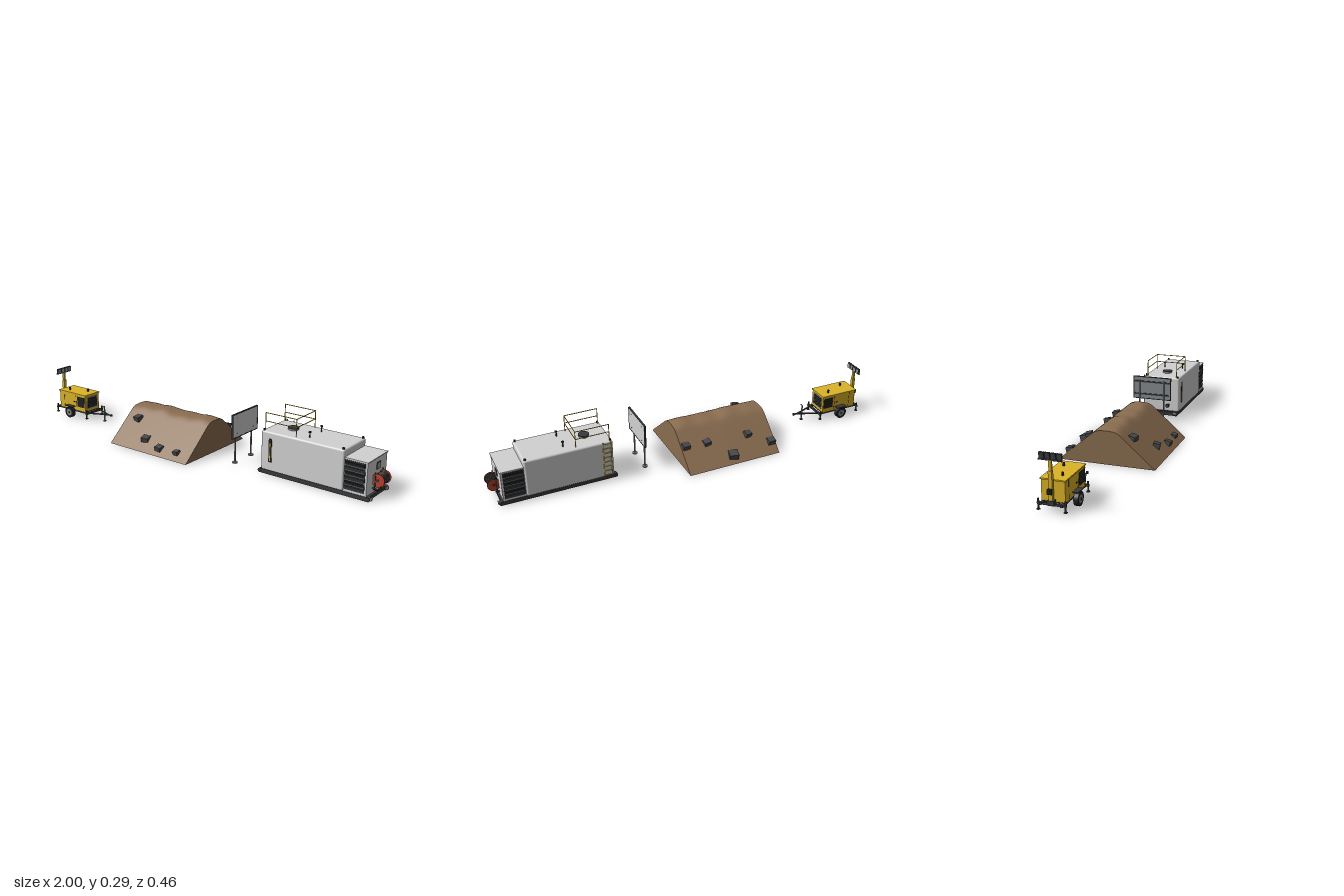
import * as THREE from 'three';
import { RoundedBoxGeometry } from 'three/addons/geometries/RoundedBoxGeometry.js';

const mat = (name, color, side = THREE.FrontSide) => {
  const m = new THREE.MeshStandardMaterial({ color, side });
  m.name = name;
  return m;
};

export function createModel() {
  const model = new THREE.Group();
  const white = mat('paleGrey', 0xd2d2d2), dark = mat('darkSteel', 0x38393b), black = mat('black', 0x202123);
  const yellow = mat('yellow', 0xdcb428), red = mat('red', 0xb8402c), steel = mat('steel', 0x868a8e);
  const earth = mat('earth', 0x8a6d50, THREE.DoubleSide), rock = mat('rock', 0x47484b), glass = mat('glass', 0x9aa8b0);

  const group = (name) => {
    const g = new THREE.Group();
    g.name = name;
    model.add(g);
    return g;
  };
  const add = (parent, name, geo, m, x = 0, y = 0, z = 0) => {
    const mesh = new THREE.Mesh(geo, m);
    mesh.name = name;
    mesh.position.set(x, y, z);
    parent.add(mesh);
    return mesh;
  };
  // Box given by its centre and size
  const box = (p, name, m, x, y, z, w, h, d) => add(p, name, new THREE.BoxGeometry(w, h, d), m, x, y, z);
  const cyl = (p, name, m, x, y, z, r, h, axis = 'y', seg = 20) => {
    const g = new THREE.CylinderGeometry(r, r, h, seg);
    if (axis === 'z') g.rotateX(Math.PI / 2);
    if (axis === 'x') g.rotateZ(Math.PI / 2);
    return add(p, name, g, m, x, y, z);
  };
  // Straight round or square bar between two points
  const bar = (p, name, m, a, b, r, seg = 8) => {
    const A = new THREE.Vector3(...a), B = new THREE.Vector3(...b), dir = B.clone().sub(A);
    const mesh = add(p, name, new THREE.CylinderGeometry(r, r, dir.length(), seg), m);
    mesh.position.copy(A).add(B).multiplyScalar(0.5);
    mesh.quaternion.setFromUnitVectors(new THREE.Vector3(0, 1, 0), dir.normalize());
    return mesh;
  };
  const both = (f) => [-1, 1].forEach(f);

  // ---------- Earth mound ----------
  const mound = group('earthMound');
  const ridge = (x) => 1 + 0.02 * Math.sin(x * 24 + 1) + 0.015 * Math.sin(x * 51);
  const height = (x, z) => {
    const a = 0.862 * (0.232 - Math.abs(z));
    const top = 0.164 * ridge(x) - 1.9 * z * z;
    const k = 0.012, h = Math.max(0, Math.min(1, 0.5 + (top - a) / (2 * k)));
    return Math.max(0, top + (a - top) * h - k * h * (1 - h));
  };
  const slope = new THREE.PlaneGeometry(0.485, 0.464, 40, 40).rotateX(-Math.PI / 2).translate(-0.158, 0, 0);
  const sp = slope.attributes.position;
  for (let i = 0; i < sp.count; i++) sp.setY(i, height(sp.getX(i), sp.getZ(i)));
  slope.computeVertexNormals();
  add(mound, 'moundSurface', slope, earth);
  for (const x of [-0.4005, 0.0845]) {
    const s = new THREE.Shape();
    s.moveTo(-0.232, 0);
    for (let i = 1; i <= 40; i++) {
      const z = -0.232 + i * 0.0116;
      s.lineTo(z, height(x, z));
    }
    const end = new THREE.ShapeGeometry(s).rotateY(x > 0 ? Math.PI / 2 : -Math.PI / 2);
    add(mound, 'moundEnd', end, earth, x);
  }
  // Rocks: x, z, size
  [[-0.378, -0.182, 0.038], [-0.27, -0.134, 0.034], [-0.16, -0.198, 0.046], [-0.05, -0.128, 0.034], [0.06, -0.123, 0.036],
    [-0.325, 0.103, 0.038], [-0.21, 0.178, 0.038], [-0.105, 0.2, 0.035], [0.002, 0.198, 0.029]].forEach(([x, z, s], i) => {
    const r = box(mound, 'rock', rock, x, height(x, z) + 0.004, z, s, s * 0.65, s * 0.9);
    r.rotation.set(Math.sign(z) * 0.25, Math.sin(i * 2.3) * 0.2, Math.sin(i * 1.7) * 0.12);
  });

  // ---------- Sign board ----------
  const sign = group('signBoard');
  box(sign, 'panel', white, 0.259, 0.188, 0, 0.005, 0.112, 0.196);
  box(sign, 'panelBack', steel, 0.2555, 0.188, 0, 0.002, 0.112, 0.196);
  both((s) => {
    box(sign, 'sideFrame', dark, 0.258, 0.188, s * 0.099, 0.009, 0.118, 0.004);
    box(sign, 'edgeFrame', dark, 0.258, 0.188 + s * 0.057, 0, 0.009, 0.004, 0.2);
    box(sign, 'backRail', dark, 0.252, 0.188 + s * 0.033, 0, 0.005, 0.007, 0.186);
    cyl(sign, 'post', steel, 0.25, 0.115, s * 0.065, 0.004, 0.23, 'y', 12);
    cyl(sign, 'postBase', steel, 0.25, 0.003, s * 0.065, 0.013, 0.006);
    both((t) => cyl(sign, 'bolt', dark, 0.262, 0.188 + t * 0.037, s * 0.065, 0.002, 0.002, 'x', 8));
  });

  // ---------- Tank container ----------
  const tank = group('fuelTank');
  add(tank, 'tankBody', new RoundedBoxGeometry(0.42, 0.187, 0.196, 3, 0.009), white, 0.627, 0.115, 0);
  box(tank, 'equipmentCab', white, 0.888, 0.098, 0, 0.112, 0.153, 0.178);
  box(tank, 'cabRoof', white, 0.889, 0.174, 0, 0.116, 0.004, 0.184);
  // Skid frame with cross members
  both((s) => {
    box(tank, 'skidBeam', dark, 0.68, 0.011, s * 0.08, 0.55, 0.02, 0.02);
    box(tank, 'skidEnd', dark, 0.68 + s * 0.265, 0.011, 0, 0.016, 0.018, 0.15);
    both((t) => {
      cyl(tank, 'skidNose', dark, 0.68 + s * 0.273, 0.011, t * 0.08, 0.01, 0.021, 'z', 12);
      cyl(tank, 'liftingLug', black, 0.627 + s * 0.2, 0.211, t * 0.087, 0.005, 0.01, 'y', 10);
      cyl(tank, 'skidFoot', black, 0.68 + s * 0.255, 0.002, t * 0.08, 0.008, 0.004, 'y', 10);
    });
  });
  box(tank, 'underTray', black, 0.68, 0.018, 0, 0.53, 0.004, 0.16);
  for (let i = 1; i < 4; i++) box(tank, 'crossMember', dark, 0.415 + i * 0.132, 0.009, 0, 0.012, 0.016, 0.15);
  // Louvred side vents
  both((s) => {
    box(tank, 'ventPanel', dark, 0.887, 0.1, s * 0.0895, 0.096, 0.134, 0.004);
    for (let i = 0; i < 6; i++) {
      const l = box(tank, 'louvre', i % 2 ? black : dark, 0.887, 0.045 + i * 0.022, s * 0.092, 0.09, 0.013, 0.003);
      l.rotation.x = s * 0.3;
    }
    for (let i = 0; i < 5; i++) box(tank, 'louvreTrim', steel, 0.887, 0.056 + i * 0.022, s * 0.092, 0.092, 0.002, 0.002);
  });
  // Cab window
  box(tank, 'windowFrame', dark, 0.945, 0.135, -0.011, 0.004, 0.032, 0.034);
  box(tank, 'windowPane', glass, 0.9465, 0.135, -0.011, 0.004, 0.025, 0.027);
  // Hose reel
  const reel = group('hoseReel');
  cyl(reel, 'drum', black, 0.966, 0.082, 0, 0.025, 0.058, 'z', 24);
  for (let i = 0; i < 9; i++) add(reel, 'hoseCoil', new THREE.TorusGeometry(0.0235, 0.0032, 6, 24), dark, 0.966, 0.082, -0.026 + i * 0.0065);
  both((s) => {
    cyl(reel, 'flange', red, 0.966, 0.082, s * 0.031, 0.031, 0.003, 'z', 24);
    cyl(reel, 'hub', dark, 0.966, 0.082, s * 0.033, 0.007, 0.005, 'z', 12);
    box(reel, 'bracketUpright', dark, 0.955, 0.078, s * 0.035, 0.005, 0.08, 0.003);
    box(reel, 'bracketArm', dark, 0.952, 0.045, s * 0.035, 0.024, 0.005, 0.003);
  });
  const hosePath = new THREE.CatmullRomCurve3([[0.98, 0.06, 0.028], [0.985, 0.056, 0.04], [0.98, 0.05, 0.058], [0.97, 0.062, 0.082]]
    .map((p) => new THREE.Vector3(...p)));
  add(reel, 'looseHose', new THREE.TubeGeometry(hosePath, 20, 0.0025, 8), black);
  // Hazard plates with slanted bands
  both((s) => {
    box(tank, 'hazardPlate', white, 0.9645, 0.012, s * 0.076, 0.003, 0.014, 0.018);
    for (let i = -1; i <= 1; i++) {
      const q = new THREE.Shape();
      const c = i * 0.0065;
      [[c - 0.005, -0.007], [c - 0.002, -0.007], [c + 0.004, 0.007], [c + 0.001, 0.007]].forEach(([a, b], k) => {
        const px = s * THREE.MathUtils.clamp(a, -0.009, 0.009);
        k ? q.lineTo(px, b) : q.moveTo(px, b);
      });
      add(tank, 'hazardBand', new THREE.ShapeGeometry(q).rotateY(Math.PI / 2), red, 0.9664, 0.012, s * 0.076);
    }
  });
  // Roof fittings
  cyl(tank, 'hatchCollar', steel, 0.525, 0.211, 0, 0.024, 0.012, 'y', 28);
  cyl(tank, 'hatchLid', dark, 0.525, 0.218, 0, 0.026, 0.003, 'y', 28);
  both((s) => {
    cyl(tank, 'ventPipe', dark, 0.64, 0.22, s * 0.05, 0.003, 0.026, 'y', 10);
    cyl(tank, 'ventCap', black, 0.64, 0.234, s * 0.05, 0.006, 0.006, 'y', 12);
  });
  // Level gauge and outlet
  box(tank, 'gaugePlate', black, 0.467, 0.122, 0.098, 0.016, 0.112, 0.003);
  box(tank, 'gaugeTube', yellow, 0.467, 0.115, 0.1, 0.004, 0.085, 0.002);
  cyl(tank, 'outletPipe', dark, 0.405, 0.058, 0.04, 0.006, 0.03, 'x', 12);
  cyl(tank, 'outletFlange', dark, 0.394, 0.058, 0.04, 0.01, 0.006, 'x', 14);
  // Guard rail around the hatch
  const rail = group('guardRail');
  for (const y of [0.25, 0.289]) {
    both((s) => bar(rail, 'sideRail', yellow, [0.428, y, s * 0.08], [0.589, y, s * 0.08], 0.002));
    bar(rail, 'endRail', yellow, [0.589, y, -0.08], [0.589, y, 0.08], 0.002);
  }
  both((s) => [0.428, 0.589].forEach((x) => bar(rail, 'railPost', yellow, [x, 0.205, s * 0.08], [x, 0.289, s * 0.08], 0.002)));
  // Ladder on the rear side
  const ladder = group('ladder');
  both((s) => box(ladder, 'ladderStile', yellow, 0.447 + s * 0.018, 0.116, -0.101, 0.004, 0.188, 0.004));
  for (let i = 0; i < 8; i++) bar(ladder, 'rung', yellow, [0.429, 0.032 + i * 0.024, -0.101], [0.465, 0.032 + i * 0.024, -0.101], 0.0018);

  // ---------- Generator trailer ----------
  const gen = group('generatorTrailer');
  box(gen, 'housing', yellow, -0.862, 0.089, 0, 0.196, 0.088, 0.102);
  box(gen, 'housingRoof', yellow, -0.862, 0.136, 0, 0.204, 0.006, 0.11);
  both((s) => {
    box(gen, 'chassisRail', dark, -0.865, 0.04, s * 0.045, 0.24, 0.01, 0.01);
    box(gen, 'chassisEnd', dark, -0.862 + s * 0.113, 0.04, 0, 0.01, 0.01, 0.124);
    box(gen, 'sideGrille', black, -0.797, 0.094, s * 0.0515, 0.054, 0.056, 0.003);
    for (let i = 0; i < 5; i++) box(gen, 'grilleSlat', dark, -0.797, 0.074 + i * 0.01, s * 0.0535, 0.05, 0.003, 0.002);
    [-0.925, -0.835].forEach((x) => box(gen, 'doorSeam', black, x, 0.09, s * 0.0512, 0.0015, 0.08, 0.001));
    box(gen, 'doorHandle', black, -0.85, 0.09, s * 0.052, 0.008, 0.005, 0.003);
    // Wheels
    cyl(gen, 'tyre', black, -0.868, 0.031, s * 0.066, 0.03, 0.02, 'z', 28);
    cyl(gen, 'wheelRim', steel, -0.868, 0.031, s * 0.0755, 0.018, 0.002, 'z', 20);
    cyl(gen, 'wheelHub', dark, -0.868, 0.031, s * 0.077, 0.006, 0.003, 'z', 12);
    box(gen, 'mudguard', dark, -0.868, 0.065, s * 0.064, 0.055, 0.003, 0.024);
    // Stabiliser legs and drawbar
    both((t) => {
      const x = -0.862 + t * 0.113;
      cyl(gen, 'stabiliserLeg', dark, x, 0.035, s * 0.058, 0.004, 0.046, 'y', 10);
      cyl(gen, 'stabiliserFoot', dark, x, 0.013, s * 0.058, 0.008, 0.003, 'y', 12);
    });
    bar(gen, 'drawbarArm', dark, [-0.75, 0.04, s * 0.042], [-0.64, 0.042, 0], 0.0045, 6);
    cyl(gen, 'roofCap', black, -0.862 + s * 0.05, 0.145, s * -0.02, 0.005, 0.016, 'y', 12);
  });
  cyl(gen, 'axle', dark, -0.868, 0.031, 0, 0.004, 0.125, 'z', 10);
  box(gen, 'floor', dark, -0.862, 0.044, 0, 0.2, 0.004, 0.09);
  box(gen, 'endGrilleFrame', steel, -0.763, 0.092, 0, 0.003, 0.064, 0.076);
  box(gen, 'endGrille', black, -0.7615, 0.092, 0, 0.003, 0.054, 0.066);
  for (let i = 0; i < 5; i++) box(gen, 'endSlat', dark, -0.76, 0.072 + i * 0.01, 0, 0.002, 0.003, 0.064);
  bar(gen, 'towBar', dark, [-0.655, 0.042, 0], [-0.618, 0.042, 0], 0.004);
  cyl(gen, 'coupling', dark, -0.621, 0.042, 0, 0.006, 0.01, 'y', 12);
  cyl(gen, 'jackTube', steel, -0.67, 0.044, 0, 0.004, 0.08, 'y', 10);
  cyl(gen, 'jackFoot', dark, -0.67, 0.002, 0, 0.008, 0.004, 'y', 12);
  bar(gen, 'jackHandle', dark, [-0.67, 0.084, 0], [-0.67, 0.084, 0.014], 0.002);
  // Light mast
  const mast = group('lightMast');
  box(mast, 'mastFoot', dark, -0.978, 0.048, 0, 0.022, 0.02, 0.03);
  box(mast, 'lowerMast', yellow, -0.978, 0.115, 0, 0.015, 0.13, 0.016);
  box(mast, 'upperMast', yellow, -0.978, 0.198, 0, 0.011, 0.05, 0.012);
  box(mast, 'winch', black, -0.992, 0.098, 0, 0.014, 0.02, 0.02);
  box(mast, 'lampBar', dark, -0.978, 0.224, 0, 0.008, 0.006, 0.1);
  for (let i = 0; i < 4; i++) {
    const z = (i - 1.5) * 0.025;
    box(mast, 'lampHousing', dark, -0.975, 0.237, z, 0.01, 0.028, 0.021);
    box(mast, 'lampLens', glass, -0.9695, 0.237, z, 0.002, 0.022, 0.016);
  }
  return model;
}
